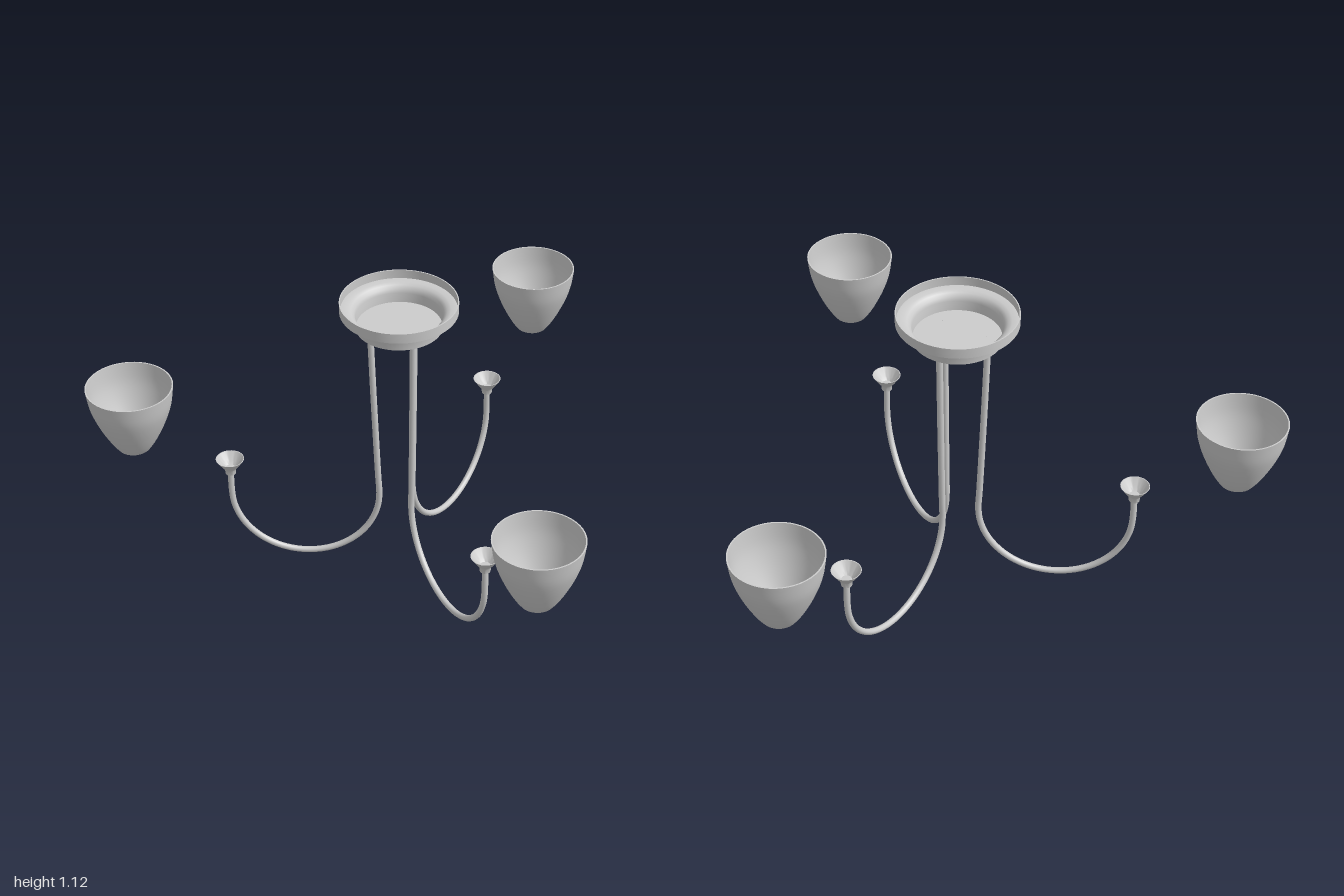
import * as THREE from 'three';
import { toCreasedNormals } from 'three/addons/utils/BufferGeometryUtils.js';

const material = new THREE.MeshStandardMaterial({ color: 0xcccccc, side: THREE.DoubleSide });
const vec2 = (p) => new THREE.Vector2(p[0], p[1]);

// Turned part from [radius, height] pairs
function turned(name, points, segments = 48) {
  const geometry = toCreasedNormals(new THREE.LatheGeometry(points.map(vec2), segments), 0.6);
  const mesh = new THREE.Mesh(geometry, material);
  mesh.name = name;
  return mesh;
}

// Arm: nearly vertical stem, half-circle sweep, short riser into the cup
function makeArm() {
  const path = new THREE.CurvePath();
  const v = (r, y) => new THREE.Vector3(0, y, r);
  const cx = 0.3525, cy = 0.285, radius = 0.2725;
  const points = [v(0.103, 1.025), v(0.094, 0.7), v(0.083, 0.36)];
  for (let i = 0; i <= 16; i++) {
    const a = Math.PI * (1 + i / 16);
    points.push(v(cx + radius * Math.cos(a), cy + radius * Math.sin(a)));
  }
  points.push(v(0.625, 0.38));
  path.add(new THREE.CatmullRomCurve3(points, false, 'centripetal'));
  const mesh = new THREE.Mesh(new THREE.TubeGeometry(path, 96, 0.0115, 12), material);
  mesh.name = 'arm';
  return mesh;
}

// Bowl-shaped glass shade with a thin wall and an open hole at the bottom
function makeShade() {
  const outerCurve = new THREE.SplineCurve([
    [0.06, 0.485], [0.08, 0.515], [0.105, 0.562], [0.13, 0.62],
    [0.148, 0.678], [0.158, 0.747],
  ].map(vec2));
  const outer = outerCurve.getPoints(20).map((p) => [p.x, p.y]);
  const inner = outer.map(([r, y]) => [r - 0.005, y + (y < 0.5 ? 0.004 : 0)]).reverse();
  return turned('shade', [[0.048, 0.49], [0.048, 0.481], [0.055, 0.481], ...outer, ...inner, [0.048, 0.49]]);
}

// Flared lamp cup, hollow from above
function makeCup() {
  return turned('cup', [
    [0, 0.368], [0.019, 0.368], [0.021, 0.388], [0.032, 0.402], [0.052, 0.432],
    [0.049, 0.432], [0.029, 0.404], [0.018, 0.392], [0, 0.392],
  ], 32);
}

export function createModel() {
  const group = new THREE.Group();
  group.name = 'ceilingLamp';

  const body = new THREE.Group();
  body.name = 'lampBody';
  body.position.z = -0.2425;
  group.add(body);

  // Ceiling canopy: stepped dish open at the top
  body.add(turned('canopy', [
    [0, 1.021], [0.154, 1.021], [0.157, 1.06], [0.161, 1.073], [0.17, 1.081],
    [0.182, 1.086], [0.209, 1.086], [0.209, 1.123], [0.205, 1.123], [0.205, 1.09],
    [0.181, 1.09], [0.168, 1.085], [0.157, 1.075], [0.153, 1.06], [0.15, 1.025], [0, 1.025],
  ], 64));

  // Three identical branches around the canopy
  for (let i = 0; i < 3; i++) {
    const branch = new THREE.Group();
    branch.name = 'branch' + (i + 1);
    branch.rotation.y = (i * 2 * Math.PI) / 3;

    const cup = makeCup();
    cup.position.z = 0.625;
    const shade = makeShade();
    shade.position.z = 0.97;

    branch.add(makeArm(), cup, shade);
    body.add(branch);
  }
  return group;
}
